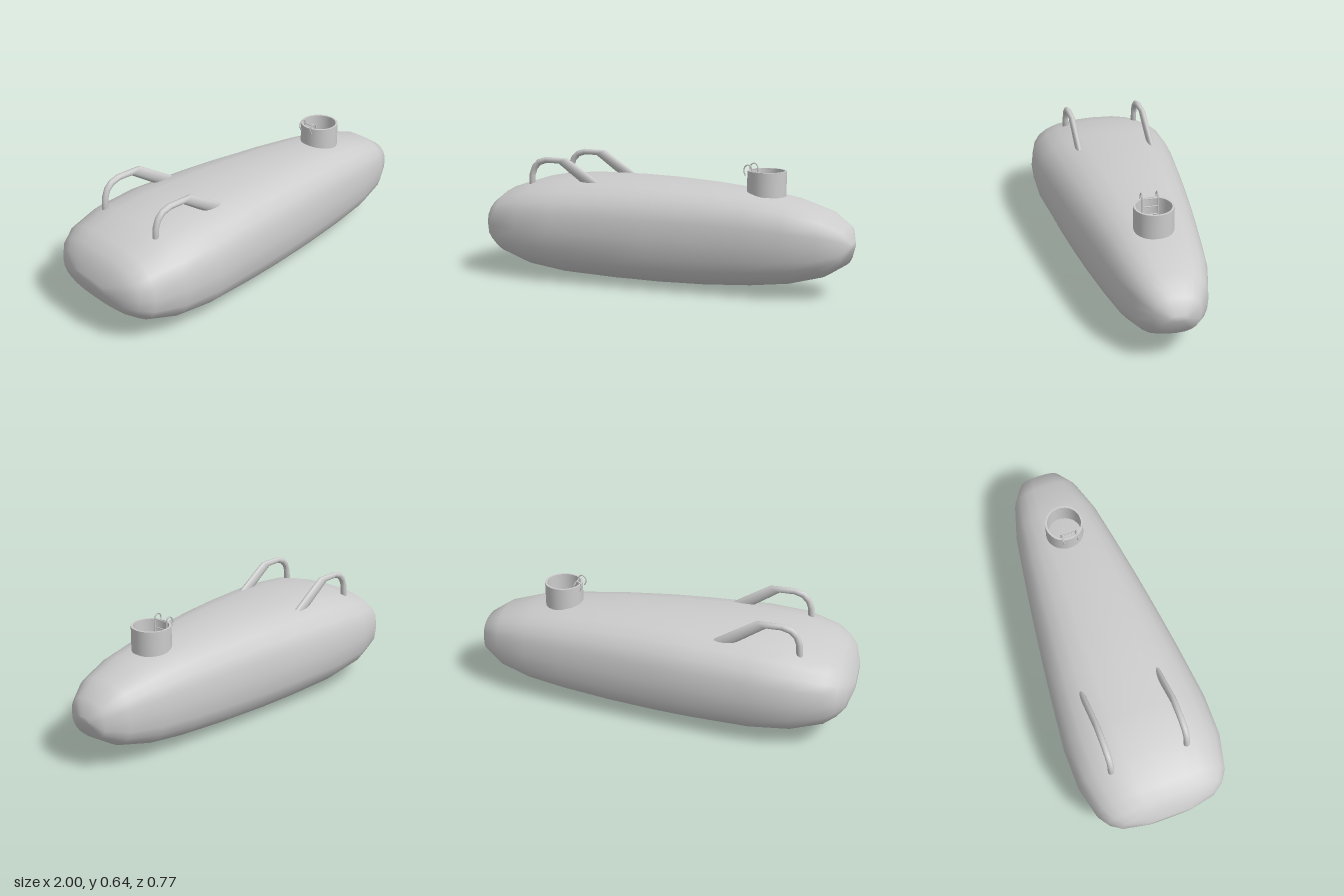
import * as THREE from 'three';

const material = new THREE.MeshStandardMaterial({ color: 0xcccccc });
const thin = new THREE.MeshStandardMaterial({ color: 0xcccccc, side: THREE.DoubleSide });

function add(parent, name, geometry, mat = material) {
  const mesh = new THREE.Mesh(geometry, mat);
  mesh.name = name;
  parent.add(mesh);
  return mesh;
}

// Smooth skin over a row of closed rings, with both ends capped
function loft(rings) {
  const n = rings[0].length, last = rings.length - 1;
  const points = rings.flat();
  const index = [];
  for (let i = 0; i < last; i++) {
    for (let j = 0; j < n; j++) {
      const k = (j + 1) % n;
      const a = i * n + j, b = i * n + k, c = a + n, d = b + n;
      index.push(a, b, c, b, d, c);
    }
  }
  for (const i of [0, last]) {
    const centre = points.length;
    points.push(rings[i].reduce((s, p) => s.add(p), new THREE.Vector3()).divideScalar(n));
    for (let j = 0; j < n; j++) {
      const a = i * n + j, b = i * n + (j + 1) % n;
      if (i === 0) index.push(centre, b, a);
      else index.push(centre, a, b);
    }
  }
  const geometry = new THREE.BufferGeometry().setFromPoints(points);
  geometry.setIndex(index);
  geometry.computeVertexNormals();
  return geometry;
}

// Hull: superellipse sections given as [x, half height, half width]
function hullGeometry() {
  const sections = [
    [-1, 0.025, 0.12], [-0.97, 0.1, 0.25], [-0.93, 0.142, 0.305], [-0.87, 0.185, 0.345],
    [-0.71, 0.235, 0.383], [-0.5, 0.259, 0.385], [-0.2, 0.267, 0.354], [0, 0.266, 0.33],
    [0.25, 0.256, 0.297], [0.5, 0.236, 0.26], [0.7, 0.208, 0.228], [0.87, 0.16, 0.178],
    [0.97, 0.095, 0.115], [1, 0.015, 0.04],
  ];
  const round = v => Math.sign(v) * Math.pow(Math.abs(v), 2 / 2.6);
  return loft(sections.map(([x, hy, hz]) => Array.from({ length: 24 }, (_, j) => {
    const t = (j / 24) * Math.PI * 2;
    return new THREE.Vector3(x, 0.268 + hy * round(Math.cos(t)), hz * round(Math.sin(t)));
  })));
}

// Handle: oval rings between an outer and an inner edge, [xOut, yOut, xIn, yIn]
function handleGeometry() {
  const edges = [
    [-0.745, 0.45, -0.712, 0.45], [-0.74, 0.53, -0.708, 0.525], [-0.722, 0.58, -0.695, 0.56],
    [-0.69, 0.612, -0.67, 0.584], [-0.64, 0.628, -0.633, 0.597], [-0.505, 0.628, -0.56, 0.597],
    [-0.28, 0.49, -0.4, 0.49],
  ];
  return loft(edges.map(([xo, yo, xi, yi]) => Array.from({ length: 12 }, (_, j) => {
    const t = (j / 12) * Math.PI * 2, m = (1 + Math.cos(t)) / 2;
    return new THREE.Vector3(xi + (xo - xi) * m, yi + (yo - yi) * m, 0.016 * Math.sin(t));
  })));
}

export function createModel() {
  const model = new THREE.Group();
  model.name = 'submersible';

  add(model, 'hull', hullGeometry());

  // Pair of rear handles
  const handle = handleGeometry();
  add(model, 'leftHandle', handle).position.z = 0.178;
  add(model, 'rightHandle', handle).position.z = -0.217;

  // Open hatch tower: straight walls, each edge doubled to stay sharp
  const wall = [[0.098, 0.46], [0.098, 0.608], [0.098, 0.608], [0.087, 0.608], [0.087, 0.608], [0.087, 0.46]];
  const tower = add(model, 'hatchTower',
    new THREE.LatheGeometry(wall.map(([r, y]) => new THREE.Vector2(r, y)), 32), thin);
  tower.position.x = 0.545;

  // Ladder hooked over the tower rim
  const ladder = new THREE.Group();
  ladder.name = 'ladder';
  model.add(ladder);
  const hook = new THREE.CatmullRomCurve3([
    [0.446, 0.582], [0.437, 0.605], [0.443, 0.627], [0.46, 0.636], [0.475, 0.626], [0.478, 0.6], [0.478, 0.49],
  ].map(([x, y]) => new THREE.Vector3(x, y, 0)));
  const rail = new THREE.TubeGeometry(hook, 32, 0.0035, 6);
  for (const side of [-1, 1]) add(ladder, 'ladderRail', rail).position.z = side * 0.039;
  for (const y of [0.612, 0.57, 0.528]) {
    const rung = add(ladder, 'ladderRung', new THREE.CylinderGeometry(0.003, 0.003, 0.078, 6));
    rung.rotation.x = Math.PI / 2;
    rung.position.set(0.478, y, 0);
  }
  return model;
}
